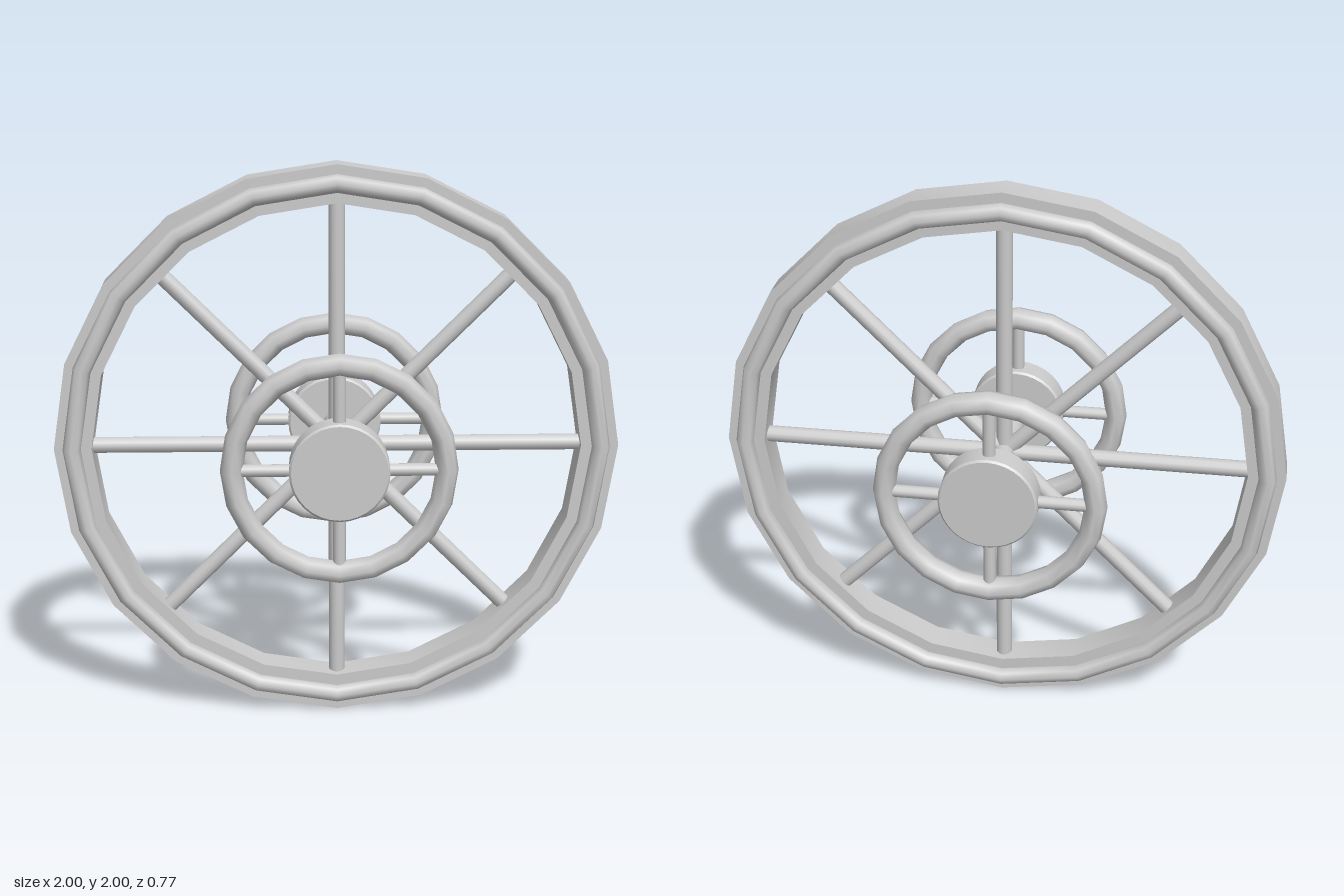
import * as THREE from 'three';
import { toCreasedNormals } from 'three/addons/utils/BufferGeometryUtils.js';

const SIDES = 20;
const mat = new THREE.MeshStandardMaterial({ color: 0xcccccc });

function add(parent, name, geometry) {
  const mesh = new THREE.Mesh(geometry, mat);
  mesh.name = name;
  parent.add(mesh);
  return mesh;
}

// Turned solid about the z axis from [radius, z] points
function turned(points, sides) {
  const g = new THREE.LatheGeometry(points.map(([r, z]) => new THREE.Vector2(r, z)), sides);
  g.rotateX(Math.PI / 2);
  return toCreasedNormals(g, 0.5);
}

// Evenly spaced round spokes running outward from the axle
function addSpokes(parent, name, count, radius, from, to) {
  for (let i = 0; i < count; i++) {
    const g = new THREE.CylinderGeometry(radius, radius, to - from, 12);
    g.translate(0, (from + to) / 2, 0);
    add(parent, name, g).rotation.z = (i / count) * Math.PI * 2;
  }
}

// Small wheel at one end of the axle
function sideWheel(side) {
  const wheel = new THREE.Group();
  wheel.name = side > 0 ? 'frontSmallWheel' : 'backSmallWheel';
  const ring = new THREE.TorusGeometry(0.367, 0.039, 8, SIDES);
  ring.scale(1, 1, 1.26);
  add(wheel, 'smallRing', ring);
  add(wheel, 'smallHub', turned(
    [[0, -0.05], [0.165, -0.05], [0.172, -0.043], [0.172, 0.043], [0.165, 0.05], [0, 0.05]], 32));
  addSpokes(wheel, 'smallSpoke', 4, 0.022, 0.15, 0.36);
  wheel.position.z = side * 0.335;
  return wheel;
}

export function createModel() {
  const model = new THREE.Group();
  model.name = 'wheelSet';
  const body = new THREE.Group();
  body.name = 'wheels';
  body.position.y = 1;
  model.add(body);

  // Large wheel: flat band with a rounded bead on each face
  const big = new THREE.Group();
  big.name = 'largeWheel';
  body.add(big);
  const w = 0.056;
  add(big, 'rim', turned([[0.867, -w], [1, -w], [1, w], [0.867, w], [0.867, -w]], SIDES));
  for (const side of [1, -1]) {
    add(big, 'rimBead', new THREE.TorusGeometry(0.936, 0.032, 8, SIDES)).position.z = side * 0.067;
  }
  addSpokes(big, 'spoke', 8, 0.029, 0, 0.87);

  // Axle through all three wheels
  const axle = new THREE.CylinderGeometry(0.04, 0.04, 0.64, 16);
  axle.rotateX(Math.PI / 2);
  add(body, 'axle', axle);

  body.add(sideWheel(1), sideWheel(-1));
  return model;
}
